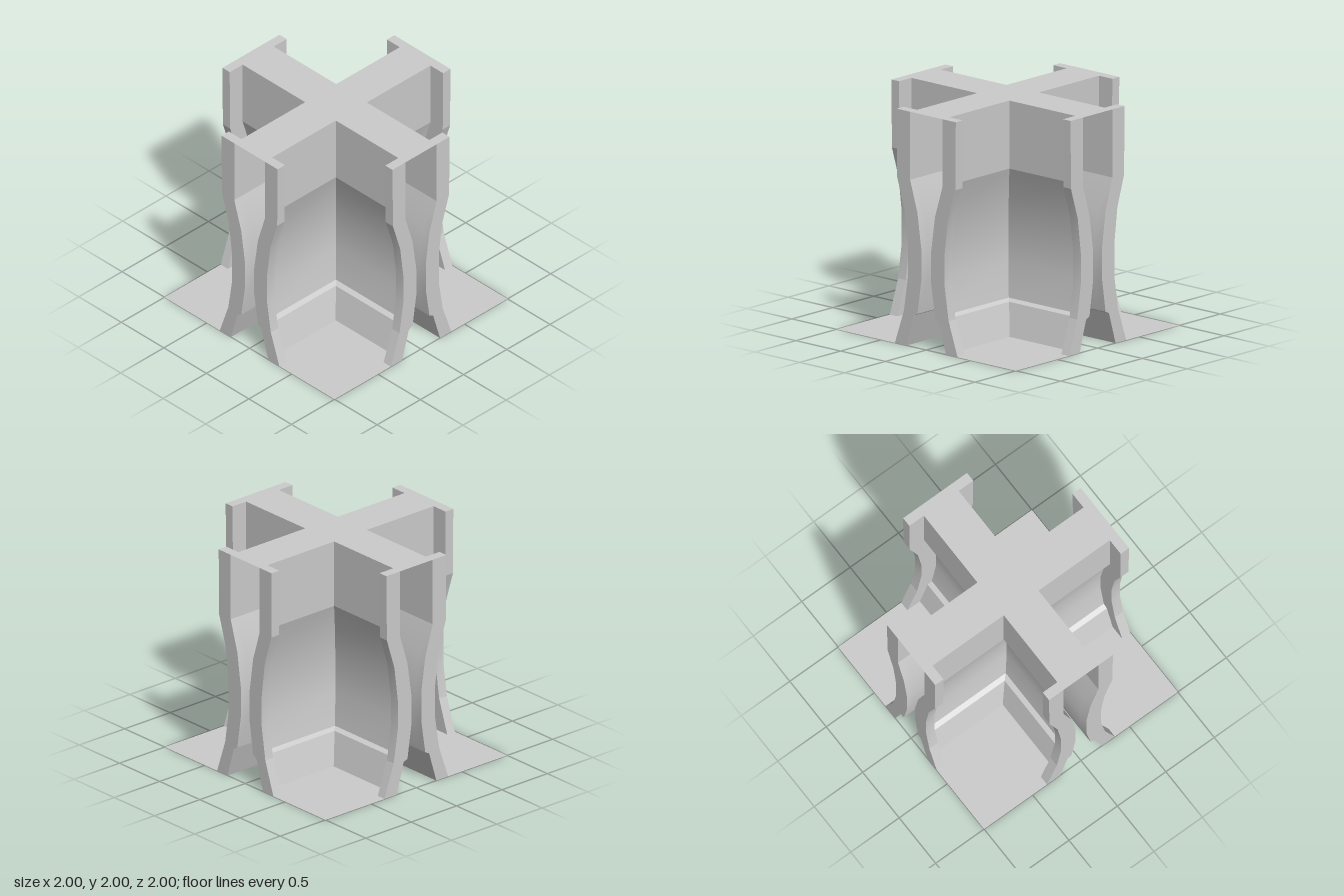
import * as THREE from 'three';

const material = new THREE.MeshStandardMaterial({ color: 0xcccccc, side: THREE.DoubleSide });
const LIP = 0.915; // where the end lips begin along each arm

// Rows from floor to top: height, wall offset, outer edge of the end lip
const rows = [
  [0, 0.22, 0.35], [0.27, 0.14, 0.257], [0.29, 0.098, 0.25], [0.58, 0.055, 0.205],
  [0.85, 0.055, 0.205], [1.15, 0.098, 0.242], [1.42, 0.18, 0.325], [2, 0.18, 0.33],
];
// Smooth runs of rows, with hard creases between them
const sections = [[0, 1], [1, 2], [2, 6], [6, 7]];

// Plan outline of one quadrant's wall and its two end lips, as [x, z]
const outline = (w, l) => [
  [w, LIP], [w, 1], [l, 1], [l, LIP], [w, LIP], [w, w],
  [LIP, w], [LIP, l], [1, l], [1, w], [LIP, w],
];

// One vertical strip of wall between outline points s and s + 1
function strip(s, first, last) {
  const pos = [], index = [];
  for (let r = first; r <= last; r++) {
    const [y, w, l] = rows[r];
    const path = outline(w, l);
    for (const [x, z] of [path[s], path[s + 1]]) pos.push(x, y, z);
    if (r < last) {
      const a = (r - first) * 2;
      index.push(a, a + 1, a + 3, a, a + 3, a + 2);
    }
  }
  const g = new THREE.BufferGeometry();
  g.setAttribute('position', new THREE.Float32BufferAttribute(pos, 3));
  g.setIndex(index);
  g.computeVertexNormals();
  return g;
}

// Flat horizontal sheet from [x, z] points, facing up
function sheet(points, y, name) {
  const shape = new THREE.Shape(points.map(([x, z]) => new THREE.Vector2(x, -z)));
  const mesh = new THREE.Mesh(new THREE.ShapeGeometry(shape).rotateX(-Math.PI / 2), material);
  mesh.position.y = y;
  mesh.name = name;
  return mesh;
}

export function createModel() {
  const model = new THREE.Group();
  model.name = 'crossShapedShell';

  for (let q = 0; q < 4; q++) {
    const quadrant = new THREE.Group();
    quadrant.name = 'quadrant' + (q + 1);
    quadrant.rotation.y = q * Math.PI / 2;

    // Curved corner walls with folded end lips
    const count = outline(0, 0).length - 1;
    for (let s = 0; s < count; s++) {
      const isWall = s === 4 || s === 5;
      for (const [first, last] of sections) {
        const mesh = new THREE.Mesh(strip(s, first, last), material);
        mesh.name = isWall ? 'curvedWall' : 'endLip';
        quadrant.add(mesh);
      }
    }

    // Floor plate, notched around the lips
    const [, w, l] = rows[0];
    quadrant.add(sheet([
      [w, w], [w, LIP], [l, LIP], [l, 1], [1, 1], [1, l], [LIP, l], [LIP, w],
    ], 0, 'floorPlate'));
    model.add(quadrant);
  }

  // Cross-shaped top plate with a T at the end of each arm
  const [top, w, l] = rows[rows.length - 1];
  const cross = [];
  for (let q = 0; q < 4; q++) {
    const c = Math.round(Math.cos(q * Math.PI / 2)), s = Math.round(Math.sin(q * Math.PI / 2));
    for (const [x, z] of [[w, w], [LIP, w], [LIP, l], [1, l], [1, -l], [LIP, -l], [LIP, -w]]) {
      cross.push([x * c + z * s, z * c - x * s]);
    }
  }
  model.add(sheet(cross, top, 'topPlate'));
  return model;
}
